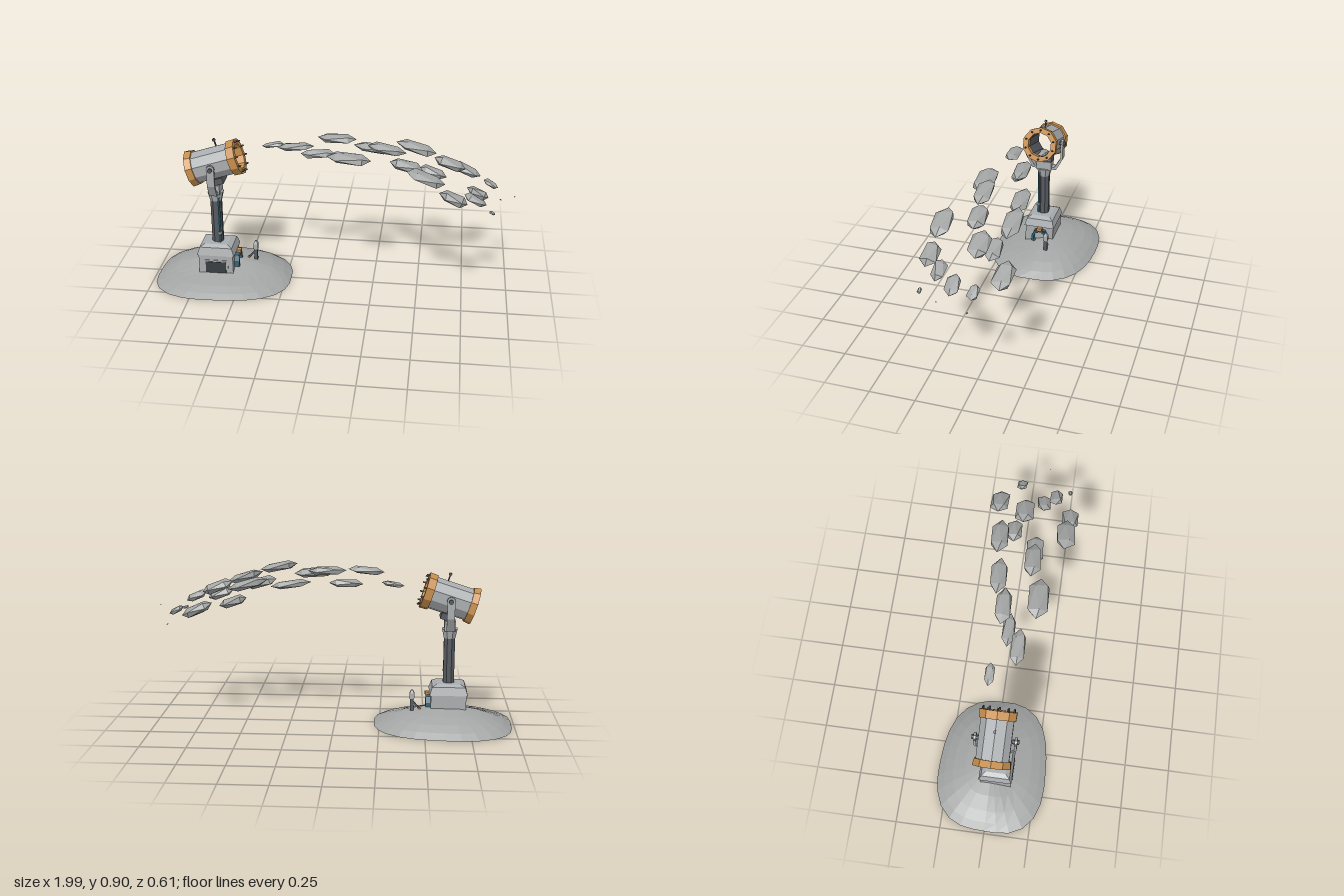
import * as THREE from 'three';

const mat = (name, color, side = THREE.FrontSide) => {
  const m = new THREE.MeshStandardMaterial({ color, flatShading: true, side });
  m.name = name;
  return m;
};

export function createModel() {
  const root = new THREE.Group();
  const stone = mat('stone grey', 0xa3a5a5);
  const metal = mat('light metal', 0xaaadaf);
  const dark = mat('dark metal', 0x565a60);
  const black = mat('charcoal', 0x3b3e42);
  const blue = mat('blue steel', 0x35606f);
  const orange = mat('orange trim', 0xc68e4c);

  const add = (name, geo, m, x = 0, y = 0, z = 0, parent = root) => {
    const mesh = new THREE.Mesh(geo, m);
    mesh.name = name;
    mesh.position.set(x, y, z);
    parent.add(mesh);
    return mesh;
  };
  const box = (w, h, d) => new THREE.BoxGeometry(w, h, d);
  // box standing on y = 0 whose top is scaled in x and z
  const taper = (w, h, d, sx, sz = sx) => {
    const g = box(w, h, d).translate(0, h / 2, 0), p = g.attributes.position;
    for (let i = 0; i < p.count; i++)
      if (p.getY(i) > h / 2) p.setXYZ(i, p.getX(i) * sx, h, p.getZ(i) * sz);
    return g;
  };
  // outline in (z, y), extruded along x and centred on it
  const sideExtrude = (pts, depth) =>
    new THREE.ExtrudeGeometry(new THREE.Shape(pts.map(p => new THREE.Vector2(...p))), { depth, bevelEnabled: false })
      .translate(0, 0, -depth / 2).rotateY(-Math.PI / 2);

  const CX = -0.632, CZ = 0.026;

  // Mound: rounded-square rings rising to a low crown, closed underneath
  const N = 28, levels = [[1, 0], [0.88, 0.03], [0.72, 0.06], [0.5, 0.086], [0.27, 0.102], [0.001, 0.105]];
  const pos = [], idx = [];
  for (const [s, h] of levels) for (let i = 0; i < N; i++) {
    const a = i / N * Math.PI * 2, c = Math.cos(a), n = Math.sin(a);
    const r = 1 / Math.pow(Math.abs(c) ** 2.7 + Math.abs(n) ** 2.7, 1 / 2.7);
    const wave = 1 + 0.025 * Math.sin(3 * a + 1.2) * s;
    const z = Math.max(-0.31, Math.min(0.31, n * r * 0.305 * s * wave));
    const x = Math.max(-0.39, Math.min(0.39, c * r * 0.385 * s * wave));
    pos.push(-0.61 + x, h * (z > 0 ? 1 - 0.3 * Math.min(1, z / 0.12) : 1), z);
  }
  for (let j = 0; j < levels.length - 1; j++) for (let i = 0; i < N; i++) {
    const a = j * N + i, b = j * N + (i + 1) % N;
    idx.push(a, a + N, b, b, a + N, b + N);
  }
  for (let i = 1; i < N - 1; i++) idx.push(0, i, i + 1);
  const mound = new THREE.BufferGeometry();
  mound.setAttribute('position', new THREE.Float32BufferAttribute(pos, 3));
  mound.setIndex(idx);
  mound.computeVertexNormals();
  add('mound', mound, stone);

  // Plinth with sloping cap
  add('plinth', box(0.195, 0.14, 0.172), metal, CX, 0.115, CZ + 0.002);
  add('plinthCap', taper(0.212, 0.045, 0.184, 0.86), metal, CX, 0.178, CZ + 0.002);
  add('plinthTop', taper(0.182, 0.013, 0.158, 0.72), metal, CX, 0.223, CZ + 0.002);
  const frontZ = CZ + 0.088;
  add('windowFrame', box(0.14, 0.088, 0.006), metal, CX, 0.105, frontZ);
  add('windowPanel', box(0.116, 0.068, 0.008), black, CX, 0.105, frontZ + 0.002);

  // Doorway arch on the +x side
  const half = [[0.036, 0.082], [0.05, 0.09], [0.048, 0.125], [0.033, 0.157], [0.012, 0.166]];
  const halfIn = [[0.01, 0.15], [0.022, 0.145], [0.034, 0.122], [0.036, 0.094], [0.024, 0.086]];
  const right = [...half, ...halfIn];
  const arch = [...half, ...half.slice().reverse().map(([z, y]) => [-z, y]),
    ...halfIn.slice().reverse().map(([z, y]) => [-z, y]), ...halfIn];
  add('doorArch', sideExtrude(arch, 0.03), blue, -0.527, 0, 0.021);
  for (const s of [-1, 1]) {
    const rib = right.map(([z, y]) => [z * s * 1.0, 0.125 + (y - 0.125) * 0.93]);
    add('archRib', sideExtrude(rib, 0.04), blue, -0.527, 0, 0.021);
  }
  add('keystone', box(0.045, 0.018, 0.03), orange, -0.525, 0.171, 0.021);

  // Column, pipe and collar
  const oct = (r1, r0, h) => new THREE.CylinderGeometry(r1, r0, h, 8, 1, false, Math.PI / 8);
  add('column', oct(0.033, 0.033, 0.26), dark, CX, 0.362, CZ);
  add('columnPipe', new THREE.CylinderGeometry(0.008, 0.008, 0.28, 6), blue, CX + 0.018, 0.372, CZ + 0.027);
  add('pipeClip', box(0.022, 0.01, 0.022), metal, CX + 0.02, 0.295, CZ + 0.03);
  add('collar', oct(0.046, 0.034, 0.052), metal, CX, 0.515, CZ);

  // Yoke: U-shaped bracket with pivots
  const u = [[0.112, 0.725], [0.112, 0.615], [0.072, 0.54]];
  const v = [[0.062, 0.556], [0.099, 0.62], [0.099, 0.725]];
  const flip = a => a.slice().reverse().map(([z, y]) => [-z, y]);
  add('yoke', sideExtrude([...u, ...flip(u), ...flip(v), ...v], 0.042), metal, CX, 0, 0.023);
  add('yokeFoot', box(0.06, 0.055, 0.09), metal, CX, 0.562, 0.023);
  for (const s of [-1, 1]) {
    add('yokeEar', new THREE.CylinderGeometry(0.023, 0.023, 0.014, 8).rotateX(Math.PI / 2), metal, CX, 0.715, 0.023 + s * 0.106);
    add('pivot', new THREE.CylinderGeometry(0.013, 0.013, 0.036, 8).rotateX(Math.PI / 2), dark, CX, 0.712, 0.023 + s * 0.105);
  }

  // Barrel: open ten-sided tube, axis along local y, tilted upwards to +x
  const barrel = new THREE.Group();
  barrel.name = 'barrel';
  barrel.position.set(-0.628, 0.711, 0.021);
  barrel.rotation.z = -THREE.MathUtils.degToRad(72);
  root.add(barrel);
  const lathe = pts => new THREE.LatheGeometry(pts.map(p => new THREE.Vector2(...p)), 10, Math.PI / 2);
  const ring = (ro, ri, y0, y1, ro1 = ro) => lathe([[ro, y0], [ro1, y1], [ri, y1], [ri, y0], [ro, y0]]);
  add('barrelShell', lathe([[0.09, -0.13], [0.09, 0.13]]), metal, 0, 0, 0, barrel);
  add('barrelLining', lathe([[0.073, 0.14], [0.08, -0.14]]), dark, 0, 0, 0, barrel);
  add('rearRing', ring(0.104, 0.081, -0.145, -0.108, 0.098), orange, 0, 0, 0, barrel);
  add('frontRing', ring(0.1, 0.07, 0.1, 0.145, 0.102), orange, 0, 0, 0, barrel);
  for (let i = 0; i < 10; i++) {
    const a = i / 10 * Math.PI * 2;
    add('ringBolt', new THREE.CylinderGeometry(0.004, 0.006, 0.018, 6), black,
      Math.cos(a) * 0.085, 0.152, Math.sin(a) * 0.085, barrel);
  }
  add('counterweight', box(0.035, 0.075, 0.095), dark, 0.098, -0.02, 0, barrel);
  add('sightPost', box(0.05, 0.007, 0.007), black, -0.11, 0.04, 0, barrel);
  add('sightTip', box(0.01, 0.016, 0.012), dark, -0.127, 0.04, 0, barrel);

  // Control post with pointed head and lever
  add('controlPost', box(0.018, 0.09, 0.02), dark, -0.43, 0.113, -0.042);
  add('controlHead', box(0.026, 0.032, 0.026), metal, -0.43, 0.17, -0.042);
  add('controlHeadTop', taper(0.026, 0.018, 0.026, 0.4), metal, -0.43, 0.186, -0.042);
  const lever = add('lever', box(0.009, 0.075, 0.009), dark, -0.458, 0.112, -0.04);
  lever.rotation.z = -0.75;
  const grip = add('leverGrip', box(0.011, 0.022, 0.011), orange, -0.476, 0.093, -0.04);
  grip.rotation.z = -0.75;

  // Flying rocks: [x, y, z, half length, half height, half width]
  const rocks = [
    [-0.318, 0.8, -0.053, 0.062, 0.014, 0.025], [-0.17, 0.85, 0.078, 0.1, 0.02, 0.036],
    [-0.06, 0.788, 0.015, 0.094, 0.022, 0.036], [0.04, 0.866, -0.03, 0.105, 0.023, 0.042],
    [0.12, 0.825, 0.147, 0.118, 0.025, 0.052], [0.235, 0.797, -0.08, 0.112, 0.022, 0.05],
    [0.318, 0.866, 0.092, 0.105, 0.024, 0.045], [0.42, 0.775, 0.09, 0.09, 0.026, 0.045],
    [0.465, 0.8, -0.107, 0.115, 0.028, 0.052], [0.56, 0.688, -0.035, 0.08, 0.026, 0.042],
    [0.65, 0.765, 0.005, 0.09, 0.026, 0.05], [0.53, 0.78, 0.245, 0.105, 0.026, 0.054],
    [0.675, 0.677, 0.26, 0.08, 0.028, 0.046], [0.74, 0.667, -0.145, 0.09, 0.026, 0.05],
    [0.795, 0.602, 0.1, 0.066, 0.02, 0.038], [0.8, 0.677, 0.168, 0.064, 0.022, 0.035],
    [0.875, 0.638, -0.035, 0.045, 0.016, 0.028], [0.88, 0.598, 0.24, 0.018, 0.008, 0.011],
    [0.933, 0.553, -0.02, 0.006, 0.003, 0.004], [0.997, 0.636, 0.11, 0.003, 0.003, 0.003],
  ];
  rocks.forEach(([x, y, z, l, h, w], k) => {
    const g = new THREE.IcosahedronGeometry(1, 0).rotateX(Math.atan(2 / (1 + Math.sqrt(5)))).rotateY(Math.PI / 2);
    g.rotateX(k * 1.3);
    const p = g.attributes.position;
    for (let i = 0; i < p.count; i++) {
      const a = p.getX(i), b = p.getY(i), c = p.getZ(i);
      const f = 1 + 0.1 * Math.sin(a * 5 + b * 7 + c * 9 + k * 2.1);
      p.setXYZ(i, a * l * (Math.abs(a) > 0.9 ? 1 : f * 1.25), b * h * f * 1.12, c * w * f * 1.12);
    }
    g.computeVertexNormals();
    const t = x < 0 ? -x * 0.5 : -x * 0.55;
    add('flyingRock', g, stone, x, y, z).rotation.z = t;
  });

  return root;
}
